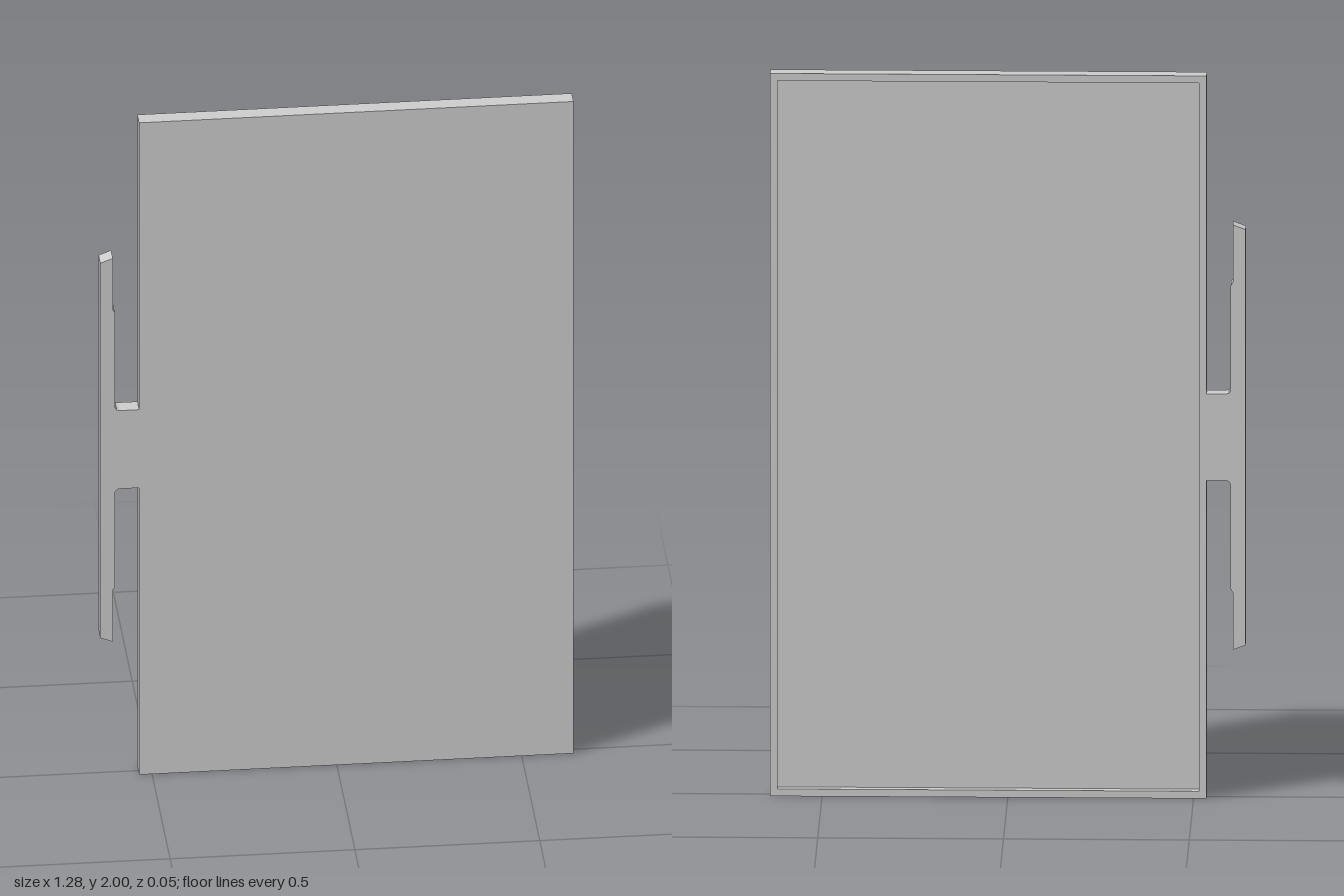
import * as THREE from 'three';

const Z0 = -0.023, Z1 = 0.023; // back and front planes
const RIM = 0.02, RECESS = 0.024; // back rim width and recess depth
const L = -0.535, R = 0.64, H = 2;

const material = new THREE.MeshStandardMaterial({ color: 0xcccccc, flatShading: true });

function rect(path, x0, y0, x1, y1) {
  path.moveTo(x0, y0);
  path.lineTo(x1, y0);
  path.lineTo(x1, y1);
  path.lineTo(x0, y1);
  path.closePath();
  return path;
}

function extrude(name, shape, z0, z1) {
  const geometry = new THREE.ExtrudeGeometry(shape, { depth: z1 - z0, bevelEnabled: false });
  geometry.translate(0, 0, z0);
  const mesh = new THREE.Mesh(geometry, material);
  mesh.name = name;
  return mesh;
}

export function createModel() {
  const group = new THREE.Group();
  group.name = 'panelWithHandle';

  // Flat front panel
  group.add(extrude('panel', rect(new THREE.Shape(), L, 0, R, H), Z0 + RECESS, Z1));

  // Raised rim around the recessed back
  const rim = rect(new THREE.Shape(), L, 0, R, H);
  rim.holes.push(rect(new THREE.Path(), L + RIM, RIM, R - RIM, H - RIM));
  group.add(extrude('backRim', rim, Z0, Z0 + RECESS));

  // T-shaped side handle: upper half outline, mirrored about mid height
  const upper = [
    [L, 1.12], [-0.588, 1.12], [-0.595, 1.122], [-0.6, 1.13],
    [-0.6, 1.42], [-0.606, 1.43], [-0.606, 1.588], [-0.64, 1.575],
  ];
  const lower = upper.map(([x, y]) => [x, H - y]).reverse();
  const outline = [...upper, ...lower].map(([x, y]) => new THREE.Vector2(x, y));
  group.add(extrude('sideHandle', new THREE.Shape(outline), Z0, Z1));

  return group;
}
